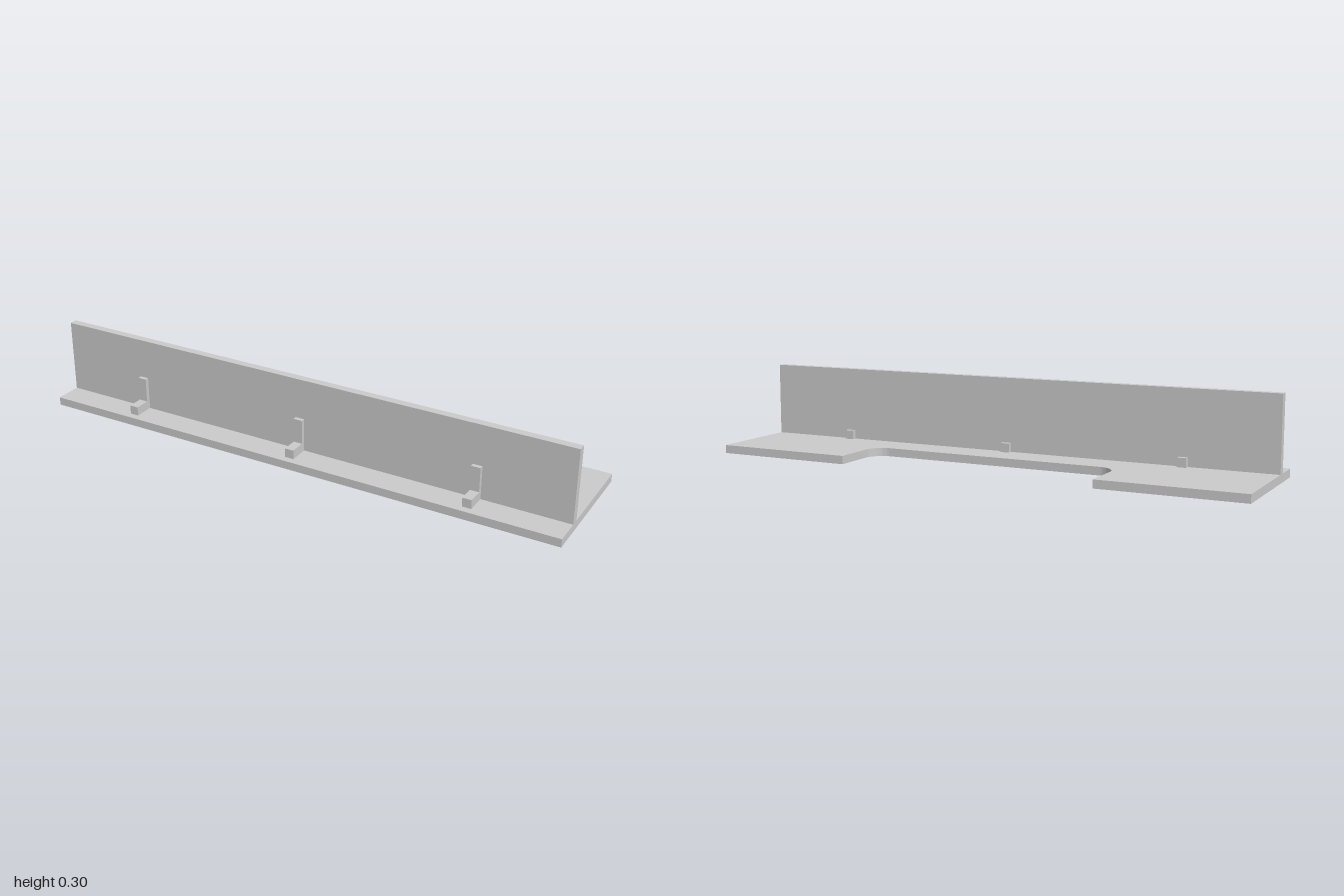
import * as THREE from 'three';
import { toCreasedNormals } from 'three/addons/utils/BufferGeometryUtils.js';

const material = new THREE.MeshStandardMaterial({ color: 0xcccccc });

function addMesh(parent, name, geometry) {
  const mesh = new THREE.Mesh(geometry, material);
  mesh.name = name;
  parent.add(mesh);
  return mesh;
}

// Box given by its lower and upper limits on each axis
function boxBetween(x0, x1, y0, y1, z0, z1) {
  return new THREE.BoxGeometry(x1 - x0, y1 - y0, z1 - z0)
    .translate((x0 + x1) / 2, (y0 + y1) / 2, (z0 + z1) / 2);
}

export function createModel() {
  const model = new THREE.Group();
  model.name = 'flangedRail';

  const thickness = 0.03, halfDepth = 0.238;
  const wallBack = 0.11, wallFront = 0.139;

  // Base plate: outline drawn with shape y = -z, rounded notch in the back edge
  const notch = 0.48, notchFloor = 0.022, r = 0.067;
  const outline = new THREE.Shape();
  outline.moveTo(-1, -halfDepth);
  outline.lineTo(1, -halfDepth);
  outline.lineTo(1, halfDepth);
  outline.lineTo(notch, halfDepth);
  outline.lineTo(notch, notchFloor + r);
  outline.absarc(notch - r, notchFloor + r, r, 0, -Math.PI / 2, true);
  outline.lineTo(-notch + r, notchFloor);
  outline.absarc(-notch + r, notchFloor + r, r, -Math.PI / 2, -Math.PI, true);
  outline.lineTo(-notch, halfDepth);
  outline.lineTo(-1, halfDepth);
  outline.closePath();
  const plate = new THREE.ExtrudeGeometry(outline, {
    depth: thickness, bevelEnabled: false, curveSegments: 12,
  }).rotateX(-Math.PI / 2);
  addMesh(model, 'basePlate', toCreasedNormals(plate, 0.5));

  // Upright wall along the full length
  addMesh(model, 'uprightWall', boxBetween(-1, 1, thickness, 0.299, wallBack, wallFront));

  // L-shaped clips in front of the wall, each with a small block behind it
  const width = 0.033, blockTop = 0.063;
  const profile = new THREE.Shape([
    [wallFront, thickness], [0.212, thickness], [0.212, blockTop],
    [0.154, blockTop], [0.154, 0.152], [wallFront, 0.152],
  ].map(([z, y]) => new THREE.Vector2(z, y)));
  const clipGeometry = new THREE.ExtrudeGeometry(profile, { depth: width, bevelEnabled: false })
    .rotateY(-Math.PI / 2)
    .translate(width / 2, 0, 0);
  const blockGeometry = boxBetween(-width / 2, width / 2, thickness, blockTop, 0.091, wallBack);

  for (const x of [-0.667, 0, 0.667]) {
    const clip = new THREE.Group();
    clip.name = 'clip';
    clip.position.x = x;
    addMesh(clip, 'frontClip', clipGeometry);
    addMesh(clip, 'backBlock', blockGeometry);
    model.add(clip);
  }

  return model;
}
